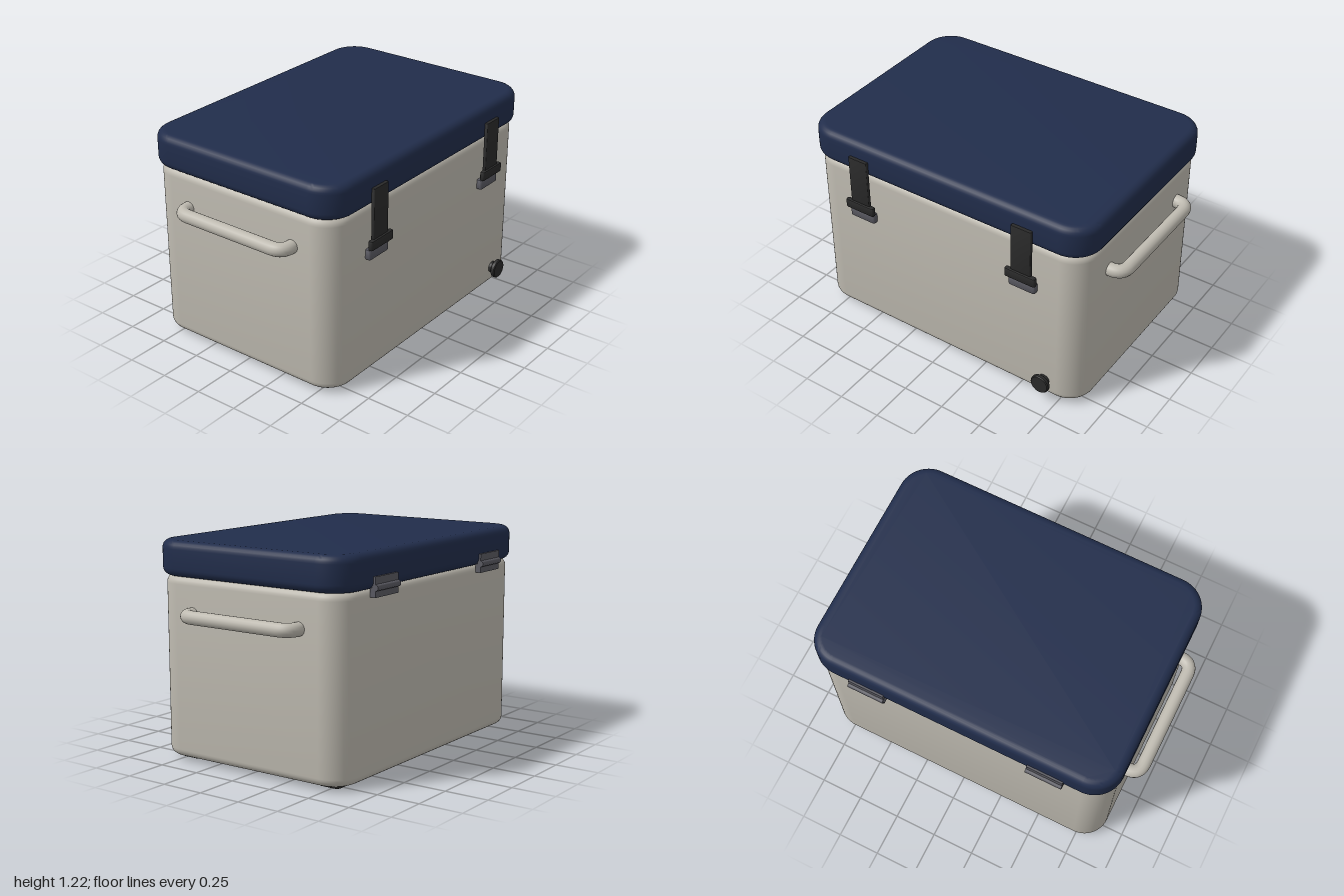
import * as THREE from 'three';
import { toCreasedNormals } from 'three/addons/utils/BufferGeometryUtils.js';

const mat = (name, color) => {
  const m = new THREE.MeshStandardMaterial({ color });
  m.name = name;
  return m;
};

// Block with rounded plan corners and rounded edges; base at y = 0, depth along z
function roundedBlock(w, h, d, radius, bevel, seg = 6) {
  const x = w / 2 - bevel, z = d / 2 - bevel, r = radius - bevel;
  const s = new THREE.Shape();
  s.moveTo(x, -z + r);
  s.absarc(x - r, z - r, r, 0, Math.PI / 2);
  s.absarc(-x + r, z - r, r, Math.PI / 2, Math.PI);
  s.absarc(-x + r, -z + r, r, Math.PI, Math.PI * 1.5);
  s.absarc(x - r, -z + r, r, Math.PI * 1.5, Math.PI * 2);
  const g = new THREE.ExtrudeGeometry(s, {
    depth: h - 2 * bevel, bevelEnabled: true, bevelThickness: bevel,
    bevelSize: bevel, bevelSegments: seg, curveSegments: 10,
  });
  g.translate(0, 0, bevel);
  g.rotateX(-Math.PI / 2);
  return toCreasedNormals(g, 0.6);
}

export function createModel() {
  const shell = mat('warm grey shell', 0xbebab0);
  const navy = mat('navy lid', 0x212d4b);
  const rubber = mat('black rubber', 0x2a2a2a);
  const metal = mat('grey hardware', 0x5a5a62);

  const root = new THREE.Group();
  root.name = 'coolBox';
  const add = (parent, name, geo, material, x = 0, y = 0, z = 0) => {
    const m = new THREE.Mesh(geo, material);
    m.name = name;
    m.position.set(x, y, z);
    parent.add(m);
    return m;
  };
  const group = (name, x, y, z) => {
    const g = new THREE.Group();
    g.name = name;
    g.position.set(x, y, z);
    root.add(g);
    return g;
  };

  // Main shell and lid
  add(root, 'body', roundedBlock(1.77, 1.01, 1.24, 0.15, 0.045), shell, 0, 0.027, -0.002);
  add(root, 'lid', roundedBlock(1.81, 0.195, 1.283, 0.17, 0.045), navy, 0, 1.031, -0.002);

  // Feet
  const footGeo = roundedBlock(0.195, 0.035, 0.14, 0.03, 0.01, 2);
  for (const x of [-0.708, 0.708])
    for (const z of [-0.475, 0.475]) add(root, 'foot', footGeo, rubber, x, 0.005, z);

  // Latches: strap, pull bar and keeper
  const strapGeo = roundedBlock(0.125, 0.335, 0.022, 0.008, 0.004, 2);
  const barGeo = roundedBlock(0.19, 0.055, 0.03, 0.012, 0.008, 2);
  const keeperGeo = roundedBlock(0.166, 0.06, 0.038, 0.012, 0.008, 2);
  for (const x of [-0.53, 0.53]) {
    const latch = group('latch', x, 0, 0);
    add(latch, 'strap', strapGeo, rubber, 0, 0.8, 0.648);
    add(latch, 'pullBar', barGeo, rubber, 0, 0.796, 0.656);
    add(latch, 'keeper', keeperGeo, metal, 0, 0.731, 0.631);
  }

  // Hinges: two leaves and a barrel
  const upperGeo = new THREE.BoxGeometry(0.21, 0.06, 0.022);
  const lowerGeo = new THREE.BoxGeometry(0.21, 0.05, 0.034);
  const barrelGeo = toCreasedNormals(new THREE.CylinderGeometry(0.018, 0.018, 0.212, 12), 0.7);
  barrelGeo.rotateZ(Math.PI / 2);
  for (const x of [-0.53, 0.53]) {
    const hinge = group('hinge', x, 0, 0);
    add(hinge, 'upperLeaf', upperGeo, metal, 0, 1.069, -0.644);
    add(hinge, 'lowerLeaf', lowerGeo, metal, 0, 1.016, -0.638);
    add(hinge, 'barrel', barrelGeo, metal, 0, 1.042, -0.653);
  }

  // Side handles: a bar with rounded bends into the body
  const V = (x, z) => new THREE.Vector3(x, 0, z);
  const X = 0.962, Z = 0.357, B = 0.07;
  for (const s of [-1, 1]) {
    const path = new THREE.CurvePath();
    path.add(new THREE.LineCurve3(V(s * 0.86, -Z), V(s * (X - B), -Z)));
    path.add(new THREE.QuadraticBezierCurve3(V(s * (X - B), -Z), V(s * X, -Z), V(s * X, -Z + B)));
    path.add(new THREE.LineCurve3(V(s * X, -Z + B), V(s * X, Z - B)));
    path.add(new THREE.QuadraticBezierCurve3(V(s * X, Z - B), V(s * X, Z), V(s * (X - B), Z)));
    path.add(new THREE.LineCurve3(V(s * (X - B), Z), V(s * 0.86, Z)));
    add(root, s > 0 ? 'leftHandle' : 'rightHandle',
      new THREE.TubeGeometry(path, 80, 0.038, 16), shell, 0, 0.838, 0);
  }

  // Drain plug: neck and cap turned as one profile
  const profile = [[0.034, 0], [0.034, 0.035], [0.05, 0.035], [0.056, 0.04], [0.056, 0.057], [0.051, 0.062], [0, 0.062]]
    .map(([r, y]) => new THREE.Vector2(r, y));
  const plugGeo = new THREE.LatheGeometry(profile, 28);
  plugGeo.rotateX(Math.PI / 2);
  add(root, 'drainPlug', toCreasedNormals(plugGeo, 0.5), rubber, 0.665, 0.132, 0.608);

  return root;
}
